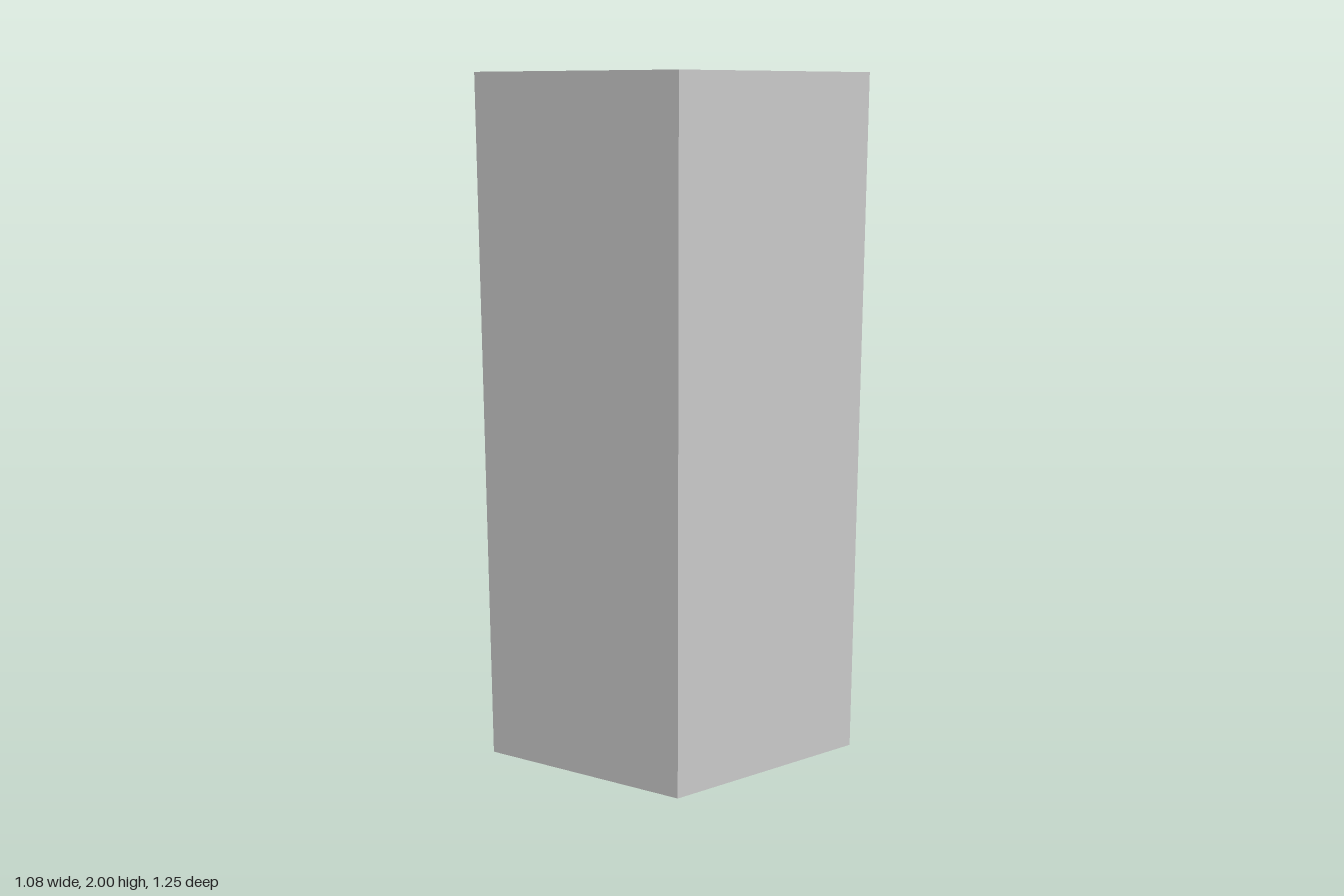
import * as THREE from 'three';

export function createModel() {
  const group = new THREE.Group();
  const material = new THREE.MeshStandardMaterial({ color: 0xcccccc, flatShading: true });

  const sides = 6;
  const outer = 0.625; // corner radius of the body
  const bore = 0.45; // corner radius of the socket

  // Half section: base, outer wall, chamfered mouth, socket wall, pointed socket floor
  const profile = [
    [0, 0],
    [outer, 0],
    [outer, 2],
    [bore, 1.75],
    [bore, 0.6],
    [0, 0.2],
  ].map(([r, y]) => new THREE.Vector2(r, y));

  // Hexagonal body with corners on +z and -z
  const body = new THREE.Mesh(new THREE.LatheGeometry(profile, sides), material);
  body.name = 'hexagonalSocketBody';
  group.add(body);

  return group;
}
